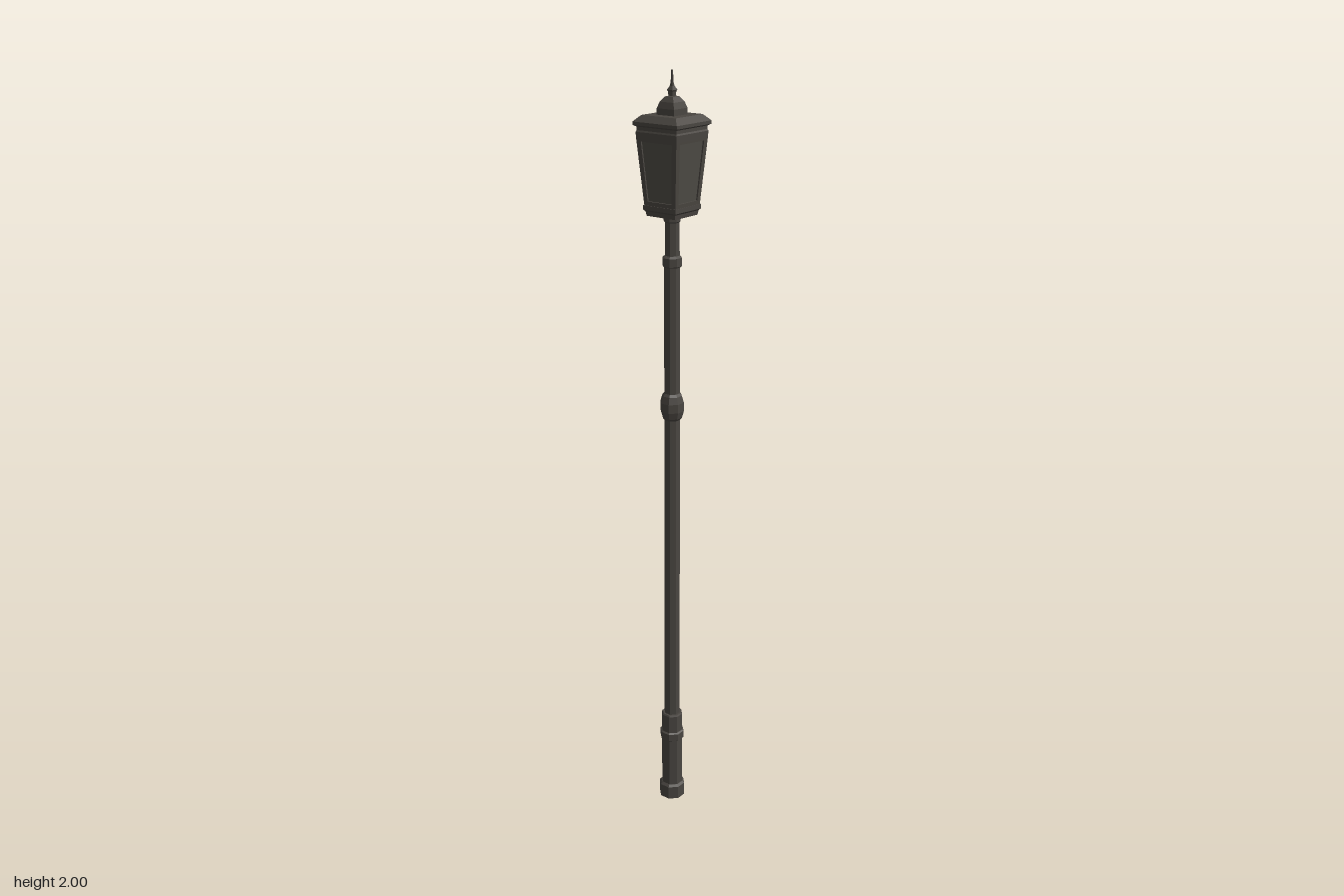
import * as THREE from 'three';

const metal = new THREE.MeshStandardMaterial({ color: 0x4a4641, flatShading: true });
metal.name = 'dark iron';
const pane = new THREE.MeshStandardMaterial({ color: 0x4e4c45, flatShading: true });
pane.name = 'smoky pane';

// Faceted column from [half width across flats, height] pairs, flats facing the axes
function column(name, sides, profile, material = metal) {
  const k = 1 / Math.cos(Math.PI / sides);
  const points = profile.map(([r, y]) => new THREE.Vector2(r * k, y));
  const mesh = new THREE.Mesh(new THREE.LatheGeometry(points, sides, Math.PI / sides), material);
  mesh.name = name;
  return mesh;
}

export function createModel() {
  const lamp = new THREE.Group();
  lamp.name = 'streetLamp';

  // Post: plinth, sleeve, shaft and neck
  lamp.add(
    column('plinth', 8, [[0, 0], [0.033, 0], [0.033, 0.037], [0.028, 0.043], [0, 0.043]]),
    column('baseSleeve', 8, [[0.027, 0.04], [0.027, 0.262], [0.025, 0.266], [0, 0.266]]),
    column('baseRing', 8, [[0.026, 0.184], [0.031, 0.188], [0.031, 0.208], [0.026, 0.212]]),
    column('shaft', 8, [[0.02, 0.26], [0.019, 1.545]]),
    column('middleCollar', 8, [[0.019, 1.13], [0.024, 1.137], [0.029, 1.155], [0.029, 1.178],
      [0.024, 1.196], [0.019, 1.203]]),
    column('upperRing', 8, [[0.018, 1.528], [0.023, 1.532], [0.023, 1.553], [0.017, 1.558]]),
    column('neck', 8, [[0.017, 1.54], [0.017, 1.64], [0.02, 1.643], [0.02, 1.662]]),
  );

  // Small cover strip on the left of the shaft
  const strip = new THREE.Mesh(new THREE.BoxGeometry(0.008, 0.135, 0.012), metal);
  strip.name = 'coverStrip';
  strip.position.set(0.019, 1.498, 0);
  lamp.add(strip);

  // Lantern
  const lantern = new THREE.Group();
  lantern.name = 'lantern';
  lamp.add(lantern);
  const y0 = 1.683, y1 = 1.842, w0 = 0.048, w1 = 0.061, inset = 0.004;
  lantern.add(
    column('lanternFoot', 4, [[0, 1.657], [0.044, 1.657], [0.046, 1.668], [0.05, 1.672],
      [0.05, 1.683], [0, 1.683]]),
    column('panes', 4, [[w0 - inset, y0], [w1 - inset, y1]], pane),
    column('cornice', 4, [[0, 1.842], [0.061, 1.842], [0.062, 1.858], [0.06, 1.862], [0.06, 1.87],
      [0.067, 1.874], [0.067, 1.882], [0.052, 1.897], [0, 1.897]]),
    column('finialBase', 4, [[0.026, 1.895], [0.026, 1.912], [0.021, 1.927], [0.012, 1.939], [0, 1.942]]),
    column('finialSpike', 4, [[0.006, 1.935], [0.007, 1.95], [0.009, 1.954], [0.004, 1.963],
      [0.0025, 1.972], [0.0015, 2]]),
  );

  // Leaning window frames, one on each side
  const length = Math.hypot(y1 - y0, w1 - w0);
  const lean = Math.atan2(w1 - w0, y1 - y0);
  const shape = new THREE.Shape([[-w0, 0], [w0, 0], [w1, length], [-w1, length]]
    .map(([x, y]) => new THREE.Vector2(x, y)));
  shape.holes.push(new THREE.Path([[-0.037, 0.01], [-0.047, length - 0.006],
    [0.047, length - 0.006], [0.037, 0.01]].map(([x, y]) => new THREE.Vector2(x, y))));
  const frame = new THREE.ExtrudeGeometry(shape, { depth: inset, bevelEnabled: false });
  frame.translate(0, 0, -inset).rotateX(lean).translate(0, y0, w0);
  for (let i = 0; i < 4; i++) {
    const side = new THREE.Mesh(frame, metal);
    side.name = 'windowFrame';
    side.rotation.y = i * Math.PI / 2;
    lantern.add(side);
  }
  return lamp;
}
